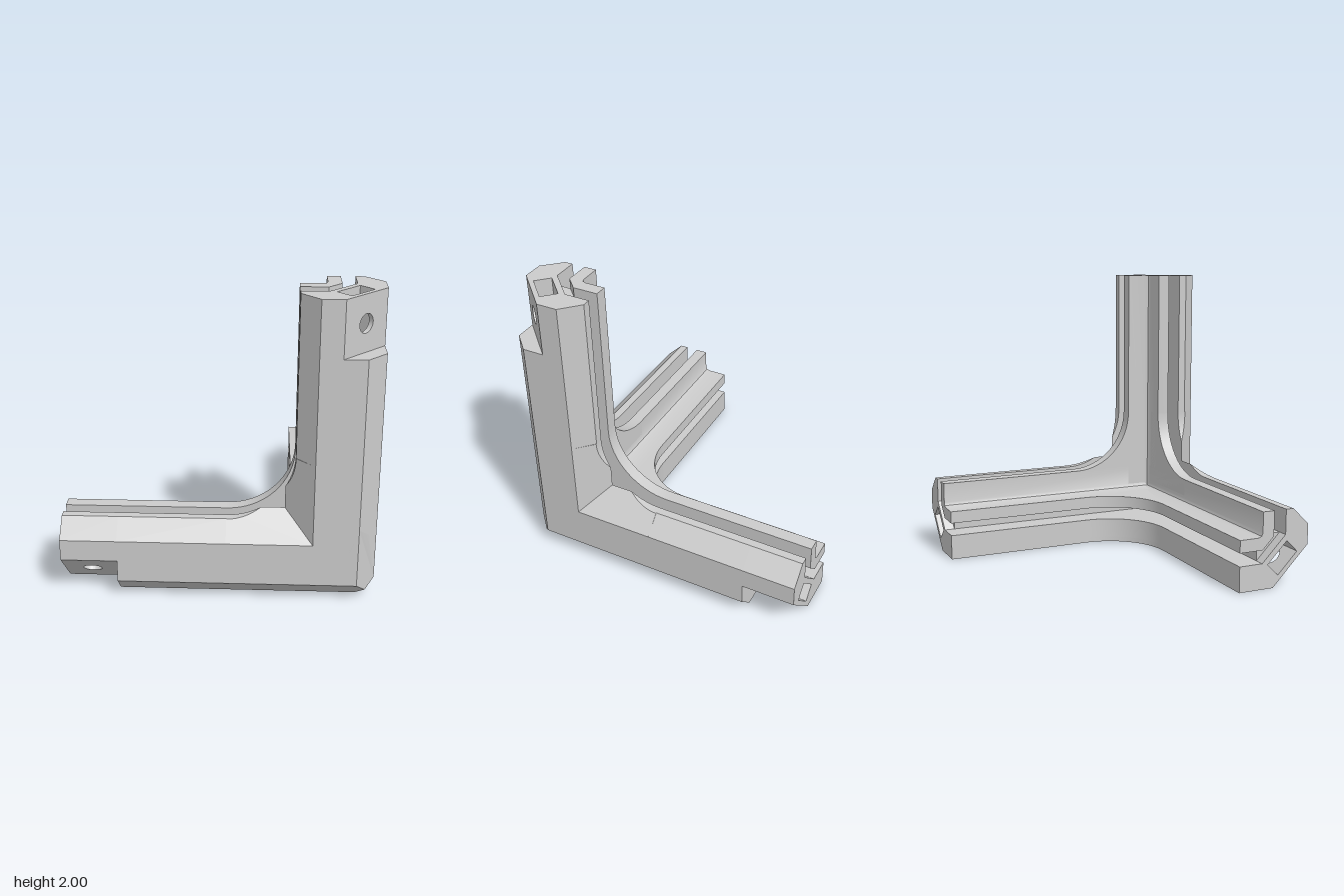
import * as THREE from 'three';
import { toCreasedNormals } from 'three/addons/utils/BufferGeometryUtils.js';

const LEN = 2, WIDE = 0.52, CH = 0.12, EDGE = 0.405;   // leg length, width, chamfer, start of side chamfer
const S0 = 0.175, S1 = 0.265, S2 = 0.35;               // panel slot faces and inner lip face
const FC = 0.95, FR = 0.43;                            // fillet centre and radius between legs
const FOOT = 0.035, POCKET = 1.64, SLOT = 1.71;        // foot recess depth, bolt pocket and nut slot starts
const CUT = 0.265, Q = Math.SQRT1_2;
const N0 = CUT * Q, N1 = 0.31 * Q, N2 = 0.471 * Q, HALF = 0.1025;  // bolt wall and nut slot along the diagonal

const material = new THREE.MeshStandardMaterial({ color: 0xcccccc, side: THREE.DoubleSide });

// From leg coordinates (a, b across, c along) to the world; axis 0 = across, 1 = up, 2 = back
function place(a, b, c, axis) {
  const [u, v, w] = [[c, a, b], [b, c, a], [a, b, c]][axis];
  return [1 - u, v, 1 - w];
}

// Extrudes an outline from c0 to c1 along an axis, with an optional rule that moves points
function solid(name, pts, c0, c1, axis, { warp, hole } = {}) {
  const shape = new THREE.Shape(pts.map(p => new THREE.Vector2(...p)));
  if (hole) shape.holes.push(new THREE.Path().absarc(hole[0], hole[1], hole[2], 0, Math.PI * 2, true));
  const geo = new THREE.ExtrudeGeometry(shape, { depth: c1 - c0, bevelEnabled: false, curveSegments: 24 });
  const pos = geo.attributes.position;
  for (let i = 0; i < pos.count; i++) {
    let p = [pos.getX(i), pos.getY(i), pos.getZ(i) + c0];
    if (warp) p = warp(...p);
    pos.setXYZ(i, ...place(...p, axis));
  }
  const mesh = new THREE.Mesh(toCreasedNormals(geo, 0.45), material);
  mesh.name = name;
  return mesh;
}

// Diagonal coordinates (t along the bolt face, n into the leg) to a, b
const diag = (t, n) => [(n + t) * Q, (n - t) * Q];
const notch = [diag(-HALF, N0), diag(-HALF, N2), diag(HALF, N2), diag(HALF, N0)];

// Outer angle section; the side that rests on the ground has no side chamfer
function section(axis, k, lift, corner) {
  const flatA = axis === 0, flatB = axis === 2;
  const la = flatA ? lift : 0, lb = flatB ? lift : 0;
  return [
    [k - lb, lb],
    ...(flatB ? [[WIDE, lb]] : [[EDGE, 0], [WIDE, CH]]),
    [WIDE, S0], [S2, S0], [S0, S2], [S0, WIDE],
    ...(flatA ? [[la, WIDE]] : [[CH, WIDE], [0, EDGE]]),
    [la, k - la],
    ...corner,
  ];
}

// Concave fillet arc, up to a given height b on its lower end
function arc(toB = FC) {
  const end = toB === FC ? Math.PI / 2 : Math.acos((FC - toB) / FR);
  return Array.from({ length: 17 }, (_, i) => {
    const t = end * i / 16;
    return [FC - FR * Math.sin(t), FC - FR * Math.cos(t)];
  });
}

function leg(name, axis) {
  const g = new THREE.Group();
  g.name = name;
  const mid = [[CH / 2, CH / 2]];
  // near part, mitred to the corner chamfers
  const floor = axis === 1 ? FOOT : 0;
  const mitre = (a, b, c) => [a, b, c > 0.01 ? c : Math.max(floor, CH - Math.min(a, b))];
  g.add(solid('legRoot', section(axis, CH, FOOT, mid), 0, FC, axis, { warp: mitre }));
  g.add(solid('legBody', section(axis, CH, 0, mid), FC, POCKET, axis));
  // end with bolt face and nut slot
  g.add(solid('legEnd', section(axis, CUT, 0, notch), POCKET, LEN, axis));
  g.add(solid('nutSlotFloor', notch, POCKET, SLOT, axis));
  g.add(solid('boltWall', [[POCKET, -HALF], [LEN, -HALF], [LEN, HALF], [POCKET, HALF]], N0, N1, axis,
    { hole: [1.82, 0, 0.06], warp: (c, t, n) => [...diag(t, n), c] }));
  // web and inner angle lip
  g.add(solid('web', [[S2, S0], [S2, S1], [S1, S2], [S0, S2]], S0, 1.93, axis));
  g.add(solid('innerLip', [[WIDE, S1], [WIDE, S2], [0.38, S2], [0.359, 0.359], [S2, 0.38], [S2, WIDE],
    [S1, WIDE], [S1, S2], [S2, S1]], S1, LEN, axis));
  return g;
}

export function createModel() {
  const model = new THREE.Group();
  model.name = 'cornerBracket';
  ['sideLeg', 'uprightLeg', 'backLeg'].forEach((name, axis) => model.add(leg(name, axis)));

  // rounded fill between each pair of legs
  const fill = [[0.4, 0.4], [FC, 0.4], ...arc(), [0.4, FC]];
  for (let axis = 0; axis < 3; axis++) model.add(solid('lipFillet', fill, S1, S2, axis));
  model.add(solid('bottomFillet', fill, FOOT, S0, 1));

  // upright fillets run out along the side chamfers
  const top = EDGE + S0;
  const half = [[EDGE, EDGE], [FC, EDGE], ...arc(top), [top, top]];
  const swapped = half.map(([a, b]) => [b, a]).reverse();
  const slope = (a, b, c) => [a, b, c < 0.01 ? Math.min(a, b) - EDGE : c];
  for (const axis of [0, 2])
    for (const pts of [half, swapped]) model.add(solid('chamferFillet', pts, 0, S0, axis, { warp: slope }));

  // bottom skin with the round foot recess, its outer edges chamfered
  const skin = [[CH, CH], [FC, CH], ...arc(), [CH, FC]];
  const bevel = (a, b, c) => {
    const out = x => (c > 0.01 && x < CH + 0.001 ? x - FOOT : x);
    return [out(a), out(b), c];
  };
  model.add(solid('footRecess', skin, 0, FOOT, 1, { hole: [0.42, 0.42, 0.28], warp: bevel }));
  return model;
}
